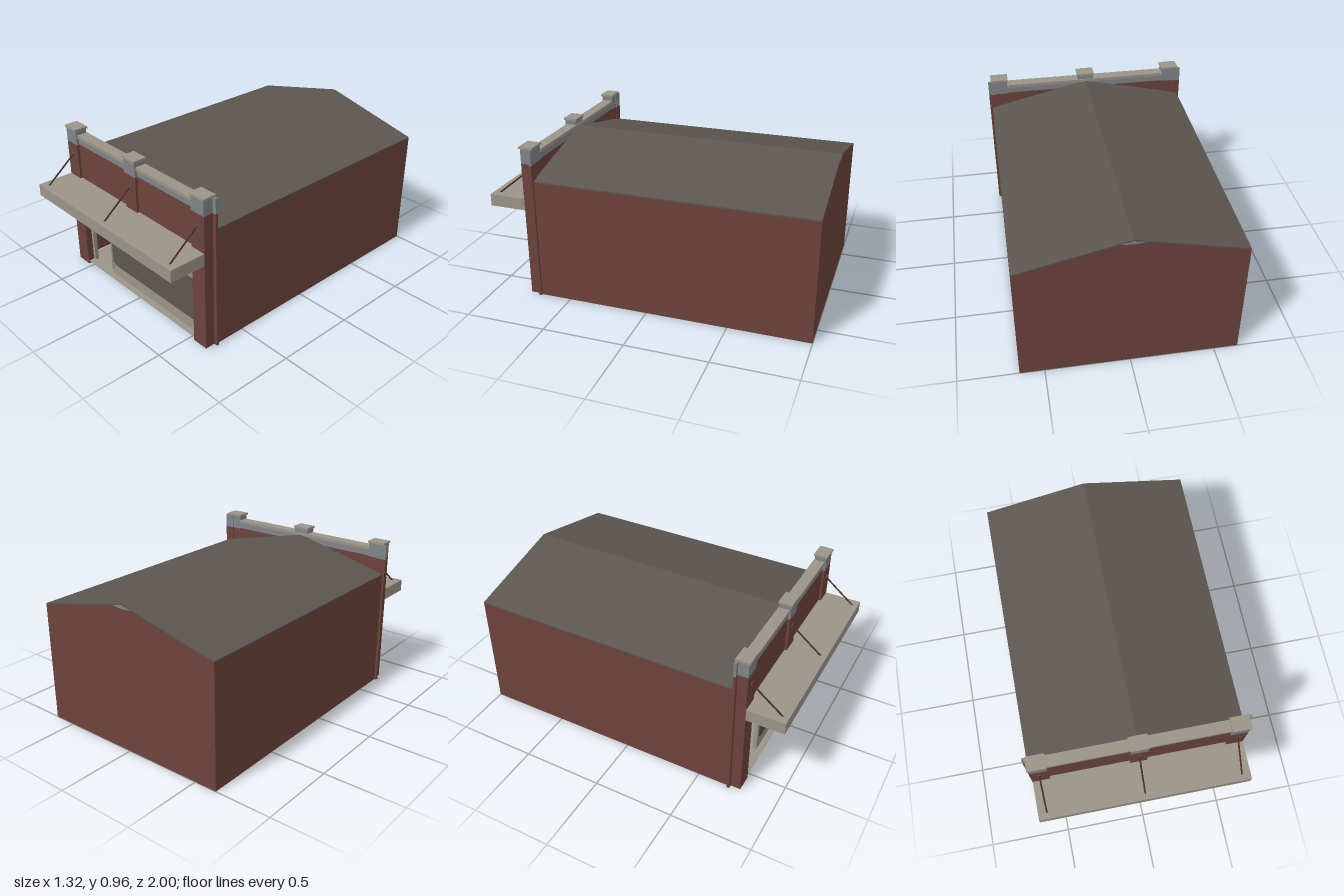
import * as THREE from 'three';

const mat = (name, color) => {
  const m = new THREE.MeshStandardMaterial({ color });
  m.name = name;
  return m;
};

export function createModel() {
  const brick = mat('brick', 0x6c433b);
  const stone = mat('pale stone', 0x9b9488);
  const slate = mat('dark slate', 0x5c5650);
  const band = mat('blue grey band', 0x818487);
  const iron = mat('dark iron', 0x4f2e29);

  const model = new THREE.Group();
  model.name = 'shopBuilding';

  const add = (name, geometry, material, parent = model) => {
    const mesh = new THREE.Mesh(geometry, material);
    mesh.name = name;
    parent.add(mesh);
    return mesh;
  };
  // Box given by its lower and upper limits on each axis
  const box = (name, material, x0, x1, y0, y1, z0, z1, parent = model) => {
    const mesh = add(name, new THREE.BoxGeometry(x1 - x0, y1 - y0, z1 - z0), material, parent);
    mesh.position.set((x0 + x1) / 2, (y0 + y1) / 2, (z0 + z1) / 2);
    return mesh;
  };
  // Outline in the front plane, extruded from z0 to z1
  const prism = (name, material, points, z0, z1) => {
    const shape = new THREE.Shape(points.map(([x, y]) => new THREE.Vector2(x, y)));
    const geometry = new THREE.ExtrudeGeometry(shape, { depth: z1 - z0, bevelEnabled: false });
    geometry.translate(0, 0, z0);
    return add(name, geometry, material);
  };

  // Hollow main hall: side walls and gabled back wall
  const W = 0.645, EAVE = 0.752, RIDGE = 0.902;
  for (const s of [-1, 1]) {
    const edge = [s * W, s * (W - 0.01)].sort((a, b) => a - b);
    box('sideWall', brick, edge[0], edge[1], 0, EAVE, -1, 0.7);
  }
  prism('backWall', brick, [[-W, 0], [W, 0], [W, EAVE], [0, RIDGE], [-W, EAVE]], -1, -0.987);
  prism('frontGable', brick, [[-W, 0.53], [W, 0.53], [W, EAVE], [0, RIDGE], [-W, EAVE]], 0.688, 0.698);
  prism('gableApex', band, [[0.07, RIDGE - 0.016], [0, RIDGE], [-0.07, RIDGE - 0.016], [0, RIDGE - 0.022]], -1.001, -0.999);

  // Shallow pitched roof
  prism('roof', slate, [
    [-W, EAVE], [0, RIDGE], [W, EAVE],
    [W, EAVE + 0.008], [0, RIDGE + 0.008], [-W, EAVE + 0.008],
  ], -1, 0.7);

  // Thin raised floor, clear of the side walls
  box('floor', stone, -0.595, 0.595, 0.017, 0.022, -0.975, 0.765);

  // Parapet wall above the shop opening
  box('frontWall', brick, -0.54, 0.54, 0.525, 0.865, 0.698, 0.755);
  box('parapetBand', band, -0.54, 0.54, 0.865, 0.905, 0.698, 0.755);
  box('parapetCoping', stone, -0.535, 0.535, 0.905, 0.924, 0.692, 0.762);

  // Pilasters: full height at the corners, upper half only in the centre
  for (const [x, bottom] of [[-0.585, 0], [0, 0.56], [0.585, 0]]) {
    const pilaster = new THREE.Group();
    pilaster.name = 'pilaster';
    model.add(pilaster);
    box('pilasterShaft', brick, x - 0.052, x + 0.052, bottom, 0.86, 0.697, 0.77, pilaster);
    box('pilasterBand', band, x - 0.052, x + 0.052, 0.86, 0.952, 0.697, 0.77, pilaster);
    box('pilasterCap', stone, x - 0.057, x + 0.057, 0.952, 0.965, 0.69, 0.777, pilaster);
  }
  for (const s of [-1, 1]) {
    const [x0, x1] = [s * 0.6, s * 0.66].sort((a, b) => a - b);
    box('cornerWing', brick, x0, x1, 0, 0.86, 0.692, 0.708);
    box('cornerWingBand', band, x0, x1, 0.86, 0.952, 0.692, 0.708);
  }

  // Shop front with its wide window
  const F = 0.73;
  box('shopFront', stone, -0.315, 0.535, 0.02, 0.53, F - 0.025, F);
  const c = 0.02;
  prism('shopWindow', slate, [
    [-0.295 + c, 0.1], [0.535, 0.1], [0.535, 0.382], [-0.295 + c, 0.382],
    [-0.295, 0.382 - c], [-0.295, 0.1 + c],
  ], F, F + 0.004);
  box('shopFrontEdge', band, -0.315, -0.297, 0.05, 0.47, F, F + 0.002);

  // Open doorway
  box('doorJamb', stone, -0.535, -0.512, 0.02, 0.47, F - 0.025, F);
  box('doorTransom', slate, -0.535, -0.315, 0.47, 0.53, F - 0.025, F);

  // Canopy between and in front of the pilasters
  box('canopy', stone, -0.637, 0.637, 0.56, 0.635, 0.77, 1);
  box('canopyBacking', stone, -0.54, 0.54, 0.56, 0.635, 0.75, 0.77);

  // Slanted tie rods and their wall plates
  for (const x of [-0.585, 0, 0.585]) {
    const path = new THREE.LineCurve3(new THREE.Vector3(x, 0.788, 0.768), new THREE.Vector3(x, 0.63, 0.965));
    add('tieRod', new THREE.TubeGeometry(path, 1, 0.005, 8), iron);
    box('rodPlate', slate, x - 0.012, x + 0.012, 0.78, 0.796, 0.77, 0.774);
  }

  return model;
}
